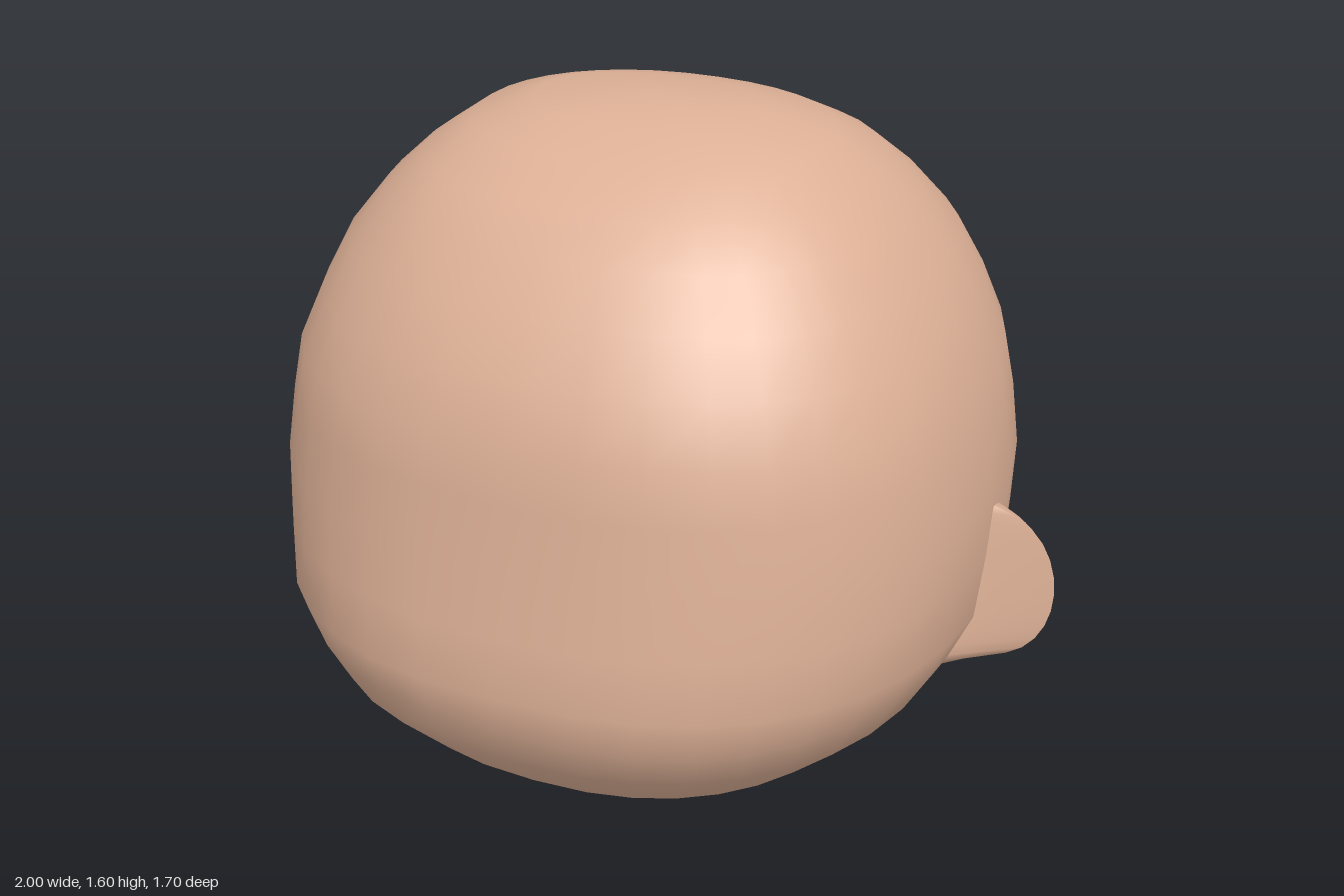
import * as THREE from 'three';
import { mergeVertices } from 'three/addons/utils/BufferGeometryUtils.js';

// Smooth surface through rows of points (rows run upward, points run left to right seen from outside)
function loft(rows) {
  const n = rows[0].length;
  const index = [];
  for (let i = 0; i < rows.length - 1; i++) {
    for (let j = 0; j < n - 1; j++) {
      const a = i * n + j, b = a + 1, c = b + n, d = a + n;
      index.push(a, b, c, a, c, d);
    }
  }
  const geometry = new THREE.BufferGeometry();
  geometry.setAttribute('position', new THREE.Float32BufferAttribute(rows.flat(2), 3));
  geometry.setIndex(index);
  const merged = mergeVertices(geometry, 1e-4);
  merged.computeVertexNormals();
  return merged;
}

// Head levels: height, half width, front z, back z
const LEVELS = [
  [0.0, 0, 0.05, 0.05],
  [0.02, 0.17, 0.30, -0.14],
  [0.07, 0.43, 0.53, -0.36],
  [0.14, 0.59, 0.66, -0.51],
  [0.26, 0.725, 0.78, -0.75],
  [0.36, 0.785, 0.825, -0.77],
  [0.46, 0.83, 0.85, -0.795],
  [0.60, 0.84, 0.83, -0.825],
  [0.75, 0.845, 0.807, -0.85],
  [0.90, 0.825, 0.787, -0.85],
  [1.03, 0.80, 0.77, -0.82],
  [1.15, 0.75, 0.715, -0.775],
  [1.27, 0.69, 0.65, -0.695],
  [1.38, 0.605, 0.56, -0.58],
  [1.46, 0.52, 0.48, -0.475],
  [1.53, 0.42, 0.35, -0.325],
  [1.575, 0.28, 0.23, -0.16],
  [1.6, 0, 0.05, 0.05],
];

// Rounded-square rings, squarer at the face than at the back
function headGeometry() {
  const segments = 36;
  const power = (v, n) => Math.sign(v) * Math.abs(v) ** (2 / n);
  const rows = LEVELS.map(([y, w, front, back]) => {
    const centre = Math.min(front, Math.max(back, 0.02 + (w === 0 ? 0.03 : 0)));
    const ring = [];
    for (let j = 0; j <= segments; j++) {
      const t = (j % segments) / segments * Math.PI * 2;
      const c = Math.cos(t), s = Math.sin(t);
      const n = c > 0 ? 2.35 : 2.15;
      const depth = c > 0 ? front - centre : centre - back;
      ring.push([w * power(s, n), y, centre + depth * power(c, n)]);
    }
    return ring;
  });
  return loft(rows);
}

// Ear: flat front face and domed back meeting at a sharp rim
function ear(side, material) {
  const root = 0.77, steps = 14, columns = 7;
  const frontRows = [], backRows = [];
  for (let i = 0; i <= steps; i++) {
    const a = (i / steps - 0.5) * Math.PI;
    const sin = Math.sin(a), cos = Math.max(0, Math.cos(a));
    const y = 0.535 + 0.192 * sin;
    const reach = 0.23 * cos ** 0.7;
    const rimZ = 0.005 - 0.01 * sin;
    const front = [
      [side * root, y, 0.052 - 0.043 * sin],
      [side * (root + reach), y, rimZ],
    ];
    const back = [];
    for (let j = 0; j <= columns; j++) {
      const u = j / columns;
      const bulge = Math.sin(Math.min(u * 2.2, Math.PI / 2));
      back.push([side * (root + reach * (1 - u)), y, rimZ - 0.133 * cos * bulge]);
    }
    frontRows.push(side > 0 ? front : front.reverse());
    backRows.push(side > 0 ? back : back.reverse());
  }
  const group = new THREE.Group();
  group.name = side > 0 ? 'leftEar' : 'rightEar';
  const face = new THREE.Mesh(loft(frontRows), material);
  face.name = 'earFront';
  const dome = new THREE.Mesh(loft(backRows), material);
  dome.name = 'earBack';
  group.add(face, dome);
  return group;
}

export function createModel() {
  const skin = new THREE.MeshStandardMaterial({ color: 0xddb096 });
  skin.name = 'skin';

  const model = new THREE.Group();
  model.name = 'head';
  const skull = new THREE.Mesh(headGeometry(), skin);
  skull.name = 'skull';
  model.add(skull, ear(1, skin), ear(-1, skin));
  return model;
}
